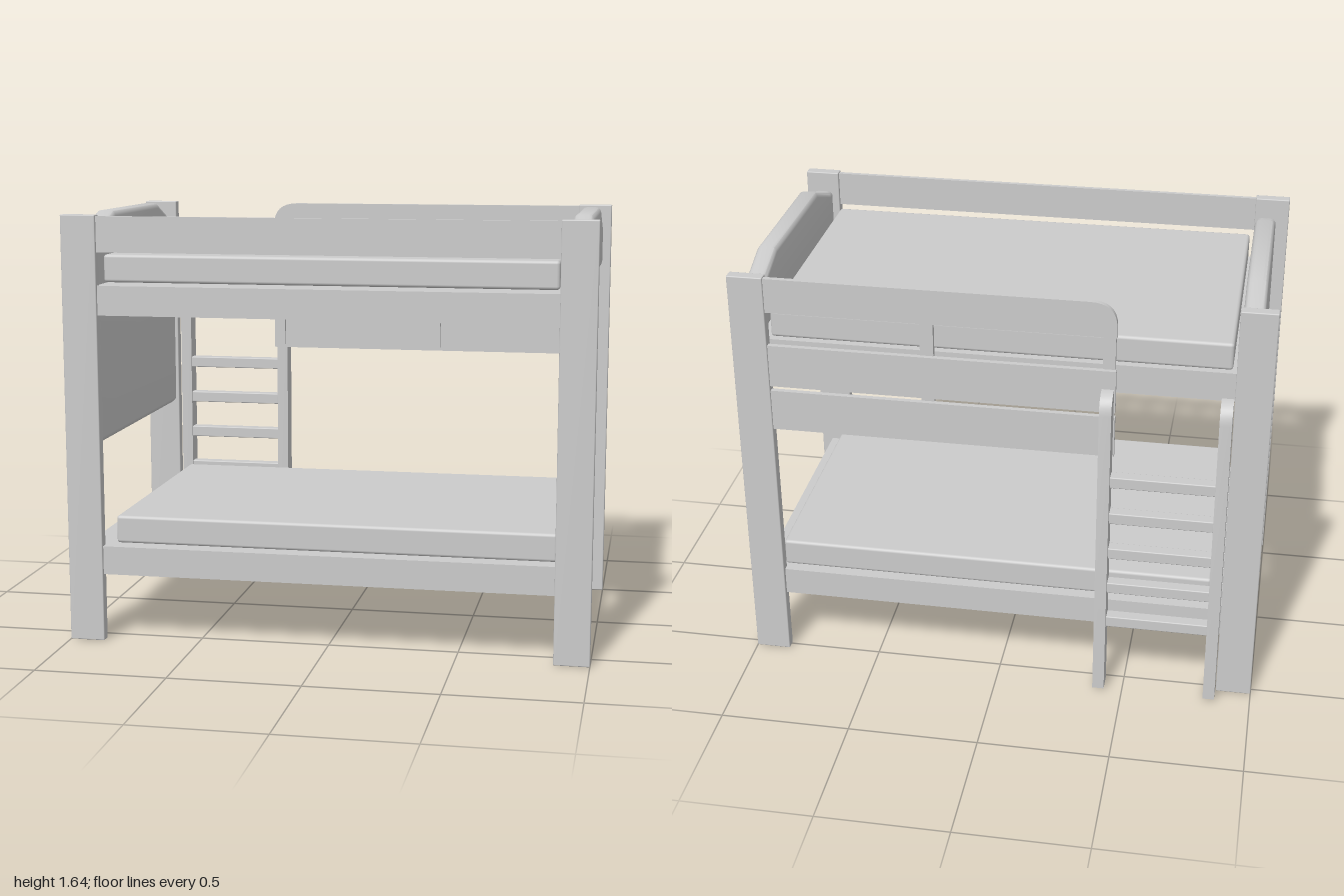
import * as THREE from 'three';
import { RoundedBoxGeometry } from 'three/addons/geometries/RoundedBoxGeometry.js';
import { toCreasedNormals } from 'three/addons/utils/BufferGeometryUtils.js';

const material = new THREE.MeshStandardMaterial({ color: 0xcccccc });

export function createModel() {
  const model = new THREE.Group();
  model.name = 'bunkBed';

  const add = (name, geometry, parent = model) => {
    const mesh = new THREE.Mesh(geometry, material);
    mesh.name = name;
    parent.add(mesh);
    return mesh;
  };

  // Box given by its limits on each axis; a radius rounds its edges
  const block = (name, [x0, x1], [y0, y1], [z0, z1], radius = 0, parent = model) => {
    const size = [x1 - x0, y1 - y0, z1 - z0];
    const geometry = radius
      ? new RoundedBoxGeometry(...size, 2, radius)
      : new THREE.BoxGeometry(...size);
    geometry.translate((x0 + x1) / 2, (y0 + y1) / 2, (z0 + z1) / 2);
    return add(name, geometry, parent);
  };

  // Four corner posts
  for (const x of [[-1, -0.865], [0.865, 1]]) {
    block('frontPost', x, [0, 1.64], [0.557, 0.6], 0.004);
    block('backPost', x, [0, 1.64], [-0.532, -0.488], 0.004);
  }

  // Bed bases, side rails and mattresses
  const inner = [-0.865, 0.865];
  const depth = [-0.487, 0.556];
  block('lowerBase', [-0.94, 0.955], [0.262, 0.372], depth);
  block('upperBase', [-0.88, 0.955], [1.263, 1.375], depth);
  block('lowerFrontRail', inner, [0.262, 0.372], [0.556, 0.588]);
  block('upperFrontRail', inner, [1.263, 1.375], [0.556, 0.588]);
  block('lowerBackRail', inner, [0.262, 0.372], [-0.515, -0.487]);
  block('lowerMattress', [-0.82, 0.87], [0.38, 0.487], depth, 0.012);
  block('upperMattress', [-0.85, 0.86], [1.385, 1.49], [-0.485, 0.552], 0.012);
  block('frontGuardRail', inner, [1.5, 1.635], [0.57, 0.588]);

  // End boards with an arched top, drawn in z and y, extruded along x
  const endBoard = (name, x0, x1, bottom) => {
    const c = 0.037, w = 0.522, r = 0.035;
    const shape = new THREE.Shape();
    shape.moveTo(c - w + r, bottom);
    shape.lineTo(c + w - r, bottom);
    shape.quadraticCurveTo(c + w, bottom, c + w, bottom + r);
    shape.lineTo(c + w, 1.545);
    shape.quadraticCurveTo(c + w, 1.567, c + w - 0.045, 1.57);
    shape.lineTo(c + 0.289, 1.643);
    shape.lineTo(c - 0.289, 1.643);
    shape.lineTo(c - w + 0.045, 1.57);
    shape.quadraticCurveTo(c - w, 1.567, c - w, 1.545);
    shape.lineTo(c - w, bottom + r);
    shape.quadraticCurveTo(c - w, bottom, c - w + r, bottom);
    const bevel = 0.02;
    const geometry = new THREE.ExtrudeGeometry(shape, {
      depth: x1 - x0 - 2 * bevel, curveSegments: 5,
      bevelThickness: bevel, bevelSize: bevel, bevelOffset: -bevel, bevelSegments: 3,
    });
    geometry.rotateY(-Math.PI / 2);
    geometry.translate(x1 - bevel, 0, 0);
    add(name, toCreasedNormals(geometry, 0.6));
  };
  endBoard('tallEndBoard', -0.95, -0.872, 0.768);
  endBoard('shortEndBoard', 0.89, 0.967, 1.392);

  // Back guard: top rail with a rounded free end, two boards and two uprights
  const rail = new THREE.Shape();
  rail.moveTo(0.865, 1.5);
  rail.lineTo(0.865, 1.635);
  rail.lineTo(-0.335, 1.635);
  rail.quadraticCurveTo(-0.435, 1.635, -0.435, 1.54);
  rail.lineTo(-0.435, 1.5);
  const railGeometry = new THREE.ExtrudeGeometry(rail, { depth: 0.02, bevelEnabled: false, curveSegments: 8 });
  railGeometry.translate(0, 0, -0.525);
  add('backGuardRail', toCreasedNormals(railGeometry, 0.6));
  block('backGuardBoard', [-0.435, 0.865], [1.197, 1.365], [-0.525, -0.505]);
  block('backLowerBoard', [-0.435, 0.865], [1.015, 1.178], [-0.525, -0.505]);
  for (const x of [[-0.43, -0.385], [0.24, 0.29]]) {
    block('backGuardUpright', x, [1.03, 1.52], [-0.508, -0.488]);
  }

  // Ladder: two side pieces rounded at the outer top corner, and rungs
  const ladder = new THREE.Group();
  ladder.name = 'ladder';
  model.add(ladder);
  const side = new THREE.Shape();
  side.moveTo(-0.603, 0.01);
  side.lineTo(-0.53, 0.01);
  side.lineTo(-0.53, 1.295);
  side.quadraticCurveTo(-0.6, 1.295, -0.603, 1.22);
  for (const x1 of [-0.818, -0.385]) {
    const geometry = new THREE.ExtrudeGeometry(side, { depth: 0.045, bevelEnabled: false, curveSegments: 8 });
    geometry.rotateY(-Math.PI / 2);
    geometry.translate(x1, 0, 0);
    add('ladderSide', toCreasedNormals(geometry, 0.6), ladder);
  }
  for (let i = 0; i < 5; i++) {
    const y = 0.293 + i * 0.155;
    block('rung', [-0.82, -0.428], [y, y + 0.045], [-0.583, -0.535], 0.004, ladder);
  }

  return model;
}
